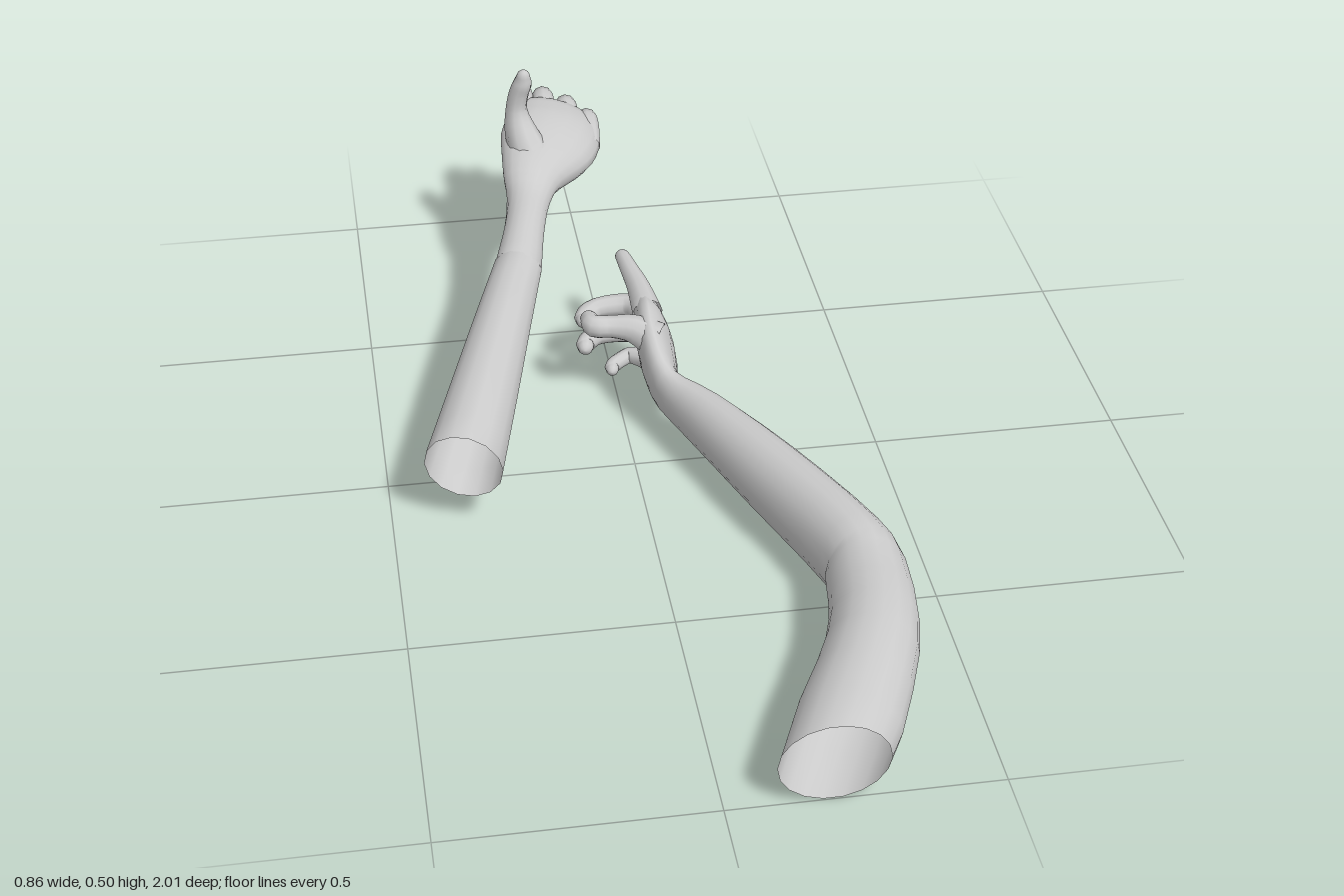
import * as THREE from 'three';

const skin = new THREE.MeshStandardMaterial({ color: 0xcccccc, side: THREE.DoubleSide });
const UP = new THREE.Vector3(0, 1, 0);
const SIDE = new THREE.Vector3(1, 0, 0);
const BACK = new THREE.Vector3(0, 0, 1);

// Smooth skin over elliptical sections [x, y, z, halfWidth, halfHeight, rollDegrees]
function limb(name, sections, { ref = UP, sides = 14, steps = 3, cap = true, startDir = null } = {}) {
  const path = new THREE.CatmullRomCurve3(sections.map(s => new THREE.Vector3(s[0], s[1], s[2])), false, 'catmullrom', 0.5);
  const size = new THREE.CatmullRomCurve3(sections.map(s => new THREE.Vector3(s[3], s[4], s[5] || 0)), false, 'catmullrom', 0.5);
  const positions = [], index = [];
  const addRing = (centre, tangent, rx, ry, roll) => {
    const side = tangent.clone().cross(ref).normalize();
    const up = side.clone().cross(tangent);
    side.applyAxisAngle(tangent, -roll);
    up.applyAxisAngle(tangent, -roll);
    for (let j = 0; j < sides; j++) {
      const a = j / sides * Math.PI * 2;
      const p = centre.clone().addScaledVector(side, rx * Math.cos(a)).addScaledVector(up, ry * Math.sin(a));
      positions.push(p.x, p.y, p.z);
    }
  };

  const n = (sections.length - 1) * steps;
  let end;
  for (let i = 0; i <= n; i++) {
    const t = i / n, s = size.getPoint(t);
    const tangent = i === 0 && startDir ? startDir : path.getTangent(t);
    end = [path.getPoint(t), tangent, s.x, s.y, THREE.MathUtils.degToRad(s.z)];
    addRing(...end);
  }
  // rounded tip
  if (cap) {
    const [c, t, rx, ry, roll] = end;
    for (const a of [0.5, 1, 1.4, 1.57]) {
      const k = Math.cos(a);
      addRing(c.clone().addScaledVector(t, Math.min(rx, ry) * Math.sin(a)), t, rx * k, ry * k, roll);
    }
  }
  const rings = positions.length / 3 / sides;
  for (let i = 0; i < rings - 1; i++) {
    for (let j = 0; j < sides; j++) {
      const a = i * sides + j, b = i * sides + (j + 1) % sides;
      index.push(a, a + sides, b, b, a + sides, b + sides);
    }
  }
  const geo = new THREE.BufferGeometry();
  geo.setAttribute('position', new THREE.Float32BufferAttribute(positions, 3));
  geo.setIndex(index);
  geo.computeVertexNormals();
  const mesh = new THREE.Mesh(geo, skin);
  mesh.name = name;
  return mesh;
}

// Round digit from points [x, y, z, radius]
const digit = (name, points, ref) =>
  limb(name, points.map(([x, y, z, r]) => [x, y, z, r, r]), { ref, sides: 10 });

// Straight forearm with the thumb raised
function thumbUpArm() {
  const arm = new THREE.Group();
  arm.name = 'thumbUpArm';
  arm.add(limb('forearm', [
    [-0.358, 0.148, 0.155, 0.078, 0.082],
    [-0.3, 0.182, -0.03, 0.069, 0.072],
    [-0.244, 0.21, -0.215, 0.06, 0.061],
    [-0.187, 0.234, -0.405, 0.051, 0.048],
  ], { cap: false }));
  arm.add(limb('wristAndPalm', [
    [-0.187, 0.234, -0.4, 0.05, 0.047],
    [-0.159, 0.256, -0.52, 0.043, 0.041],
    [-0.138, 0.27, -0.62, 0.047, 0.038, -8],
    [-0.12, 0.289, -0.69, 0.068, 0.046, -15],
    [-0.083, 0.298, -0.78, 0.103, 0.054, -18],
    [-0.053, 0.302, -0.85, 0.107, 0.053, -18],
    [-0.043, 0.307, -0.905, 0.096, 0.043, -18],
  ], { sides: 18 }));
  arm.add(digit('thumb', [
    [-0.118, 0.31, -0.74, 0.046],
    [-0.136, 0.36, -0.77, 0.035],
    [-0.142, 0.405, -0.782, 0.024],
    [-0.136, 0.445, -0.782, 0.022],
    [-0.128, 0.47, -0.778, 0.021],
    [-0.126, 0.49, -0.774, 0.015],
  ], BACK));
  // four fingers folded under at the knuckles
  const knuckles = [
    [-0.112, 0.33, -0.978], [-0.065, 0.32, -0.974],
    [-0.015, 0.305, -0.955], [0.027, 0.288, -0.915],
  ];
  knuckles.forEach(([x, y, z], i) => arm.add(digit('finger' + (i + 1), [
    [x - 0.002, y - 0.008, z + 0.1, 0.022],
    [x, y + 0.004, z + 0.045, 0.026],
    [x + 0.002, y + 0.008, z, 0.024],
    [x + 0.002, y - 0.022, z - 0.002, 0.022],
    [x, y - 0.035, z + 0.025, 0.02],
  ], SIDE)));
  return arm;
}

// Bent arm with the index finger pointing
function pointingArm() {
  const arm = new THREE.Group();
  arm.name = 'pointingArm';
  arm.add(limb('armAndPalm', [
    [0.19, 0.085, 1, 0.1, 0.082],
    [0.317, 0.095, 0.73, 0.085, 0.081],
    [0.352, 0.092, 0.55, 0.079, 0.079],
    [0.342, 0.091, 0.45, 0.072, 0.091],
    [0.238, 0.094, 0.2, 0.066, 0.077],
    [0.145, 0.096, 0, 0.049, 0.063],
    [0.085, 0.103, -0.1, 0.031, 0.058, 6],
    [0.077, 0.114, -0.17, 0.036, 0.095, 12],
    [0.082, 0.115, -0.25, 0.038, 0.113, 12],
    [0.081, 0.117, -0.315, 0.031, 0.096, 12],
  ], { sides: 18, startDir: new THREE.Vector3(0, 0, -1) }));
  arm.add(digit('thumb', [
    [0.075, 0.17, -0.19, 0.04],
    [0.03, 0.188, -0.212, 0.031],
    [-0.015, 0.193, -0.22, 0.024],
    [-0.05, 0.196, -0.222, 0.024],
    [-0.058, 0.197, -0.25, 0.018],
  ], UP));
  arm.add(digit('indexFinger', [
    [0.068, 0.187, -0.27, 0.032],
    [0.062, 0.196, -0.35, 0.025],
    [0.052, 0.203, -0.41, 0.02],
    [0.044, 0.207, -0.463, 0.016],
  ], UP));
  // three fingers hooked towards the inside
  const hooked = [
    [0.067, 0.138, -0.38, -0.053, 0.025], [0.072, 0.082, -0.362, -0.053, 0.024],
    [0.078, 0.037, -0.335, 0, 0.019],
  ];
  hooked.forEach(([x, y, z, tip, r], i) => arm.add(digit('finger' + (i + 2), [
    [x + 0.012, y + 0.003, z + 0.1, r + 0.005],
    [x, y + 0.003, z + 0.035, r + 0.002],
    [x - 0.03, y, z, r],
    [tip + 0.03, y - 0.002, z, r * 0.9],
    [tip, y - 0.004, z + 0.025, r * 0.85],
    [tip - 0.003, y - 0.004, z + 0.04, r * 0.7],
  ], UP)));
  return arm;
}

export function createModel() {
  const model = new THREE.Group();
  model.name = 'pairOfArms';
  model.add(thumbUpArm(), pointingArm());
  return model;
}
